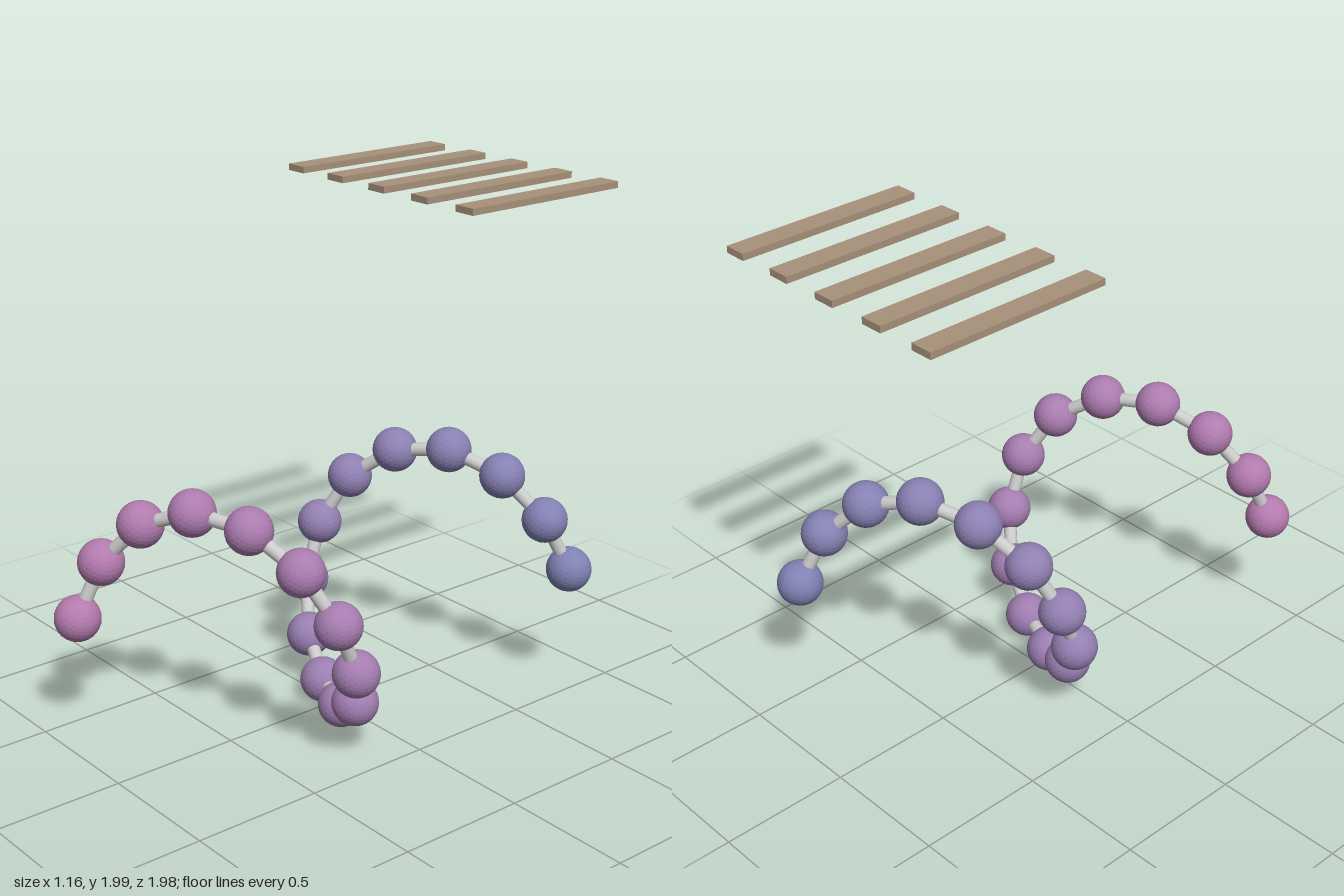
import * as THREE from 'three';

const BALLS = 20;
const BALL_RADIUS = 0.088;
const ROD_RADIUS = 0.026;

// Helix around the z axis, half a radian per ball, from back to front
function helixPoint(i) {
  const a = i * 0.5;
  return new THREE.Vector3(0.05 + 0.44 * Math.cos(a), 0.524 + 0.437 * Math.sin(a), -0.77 + i * 0.0879);
}

function rodBetween(a, b, material) {
  const rod = new THREE.Mesh(new THREE.CylinderGeometry(ROD_RADIUS, ROD_RADIUS, a.distanceTo(b), 16), material);
  rod.position.copy(a).lerp(b, 0.5);
  rod.quaternion.setFromUnitVectors(new THREE.Vector3(0, 1, 0), b.clone().sub(a).normalize());
  return rod;
}

export function createModel() {
  const model = new THREE.Group();
  model.name = 'helixChainWithSlats';

  // Chain of balls, shading from blue at the back to pink at the front
  const chain = new THREE.Group();
  chain.name = 'helixChain';
  const ballGeometry = new THREE.IcosahedronGeometry(BALL_RADIUS, 4);
  const back = new THREE.Color(0x7f82b4);
  const front = new THREE.Color(0xb57aae);
  for (let i = 0; i < BALLS; i++) {
    const color = back.clone().lerp(front, i / (BALLS - 1));
    const ball = new THREE.Mesh(ballGeometry, new THREE.MeshStandardMaterial({ color, flatShading: true }));
    ball.name = `ball${i + 1}`;
    ball.position.copy(helixPoint(i));
    chain.add(ball);
  }

  // Rods joining neighbouring balls
  const grey = new THREE.MeshStandardMaterial({ color: 0xcccccc });
  for (let i = 0; i < BALLS - 1; i++) {
    const rod = rodBetween(helixPoint(i), helixPoint(i + 1), grey);
    rod.name = `rod${i + 1}`;
    chain.add(rod);
  }
  model.add(chain);

  // Row of floating slats above the back half
  const slats = new THREE.Group();
  slats.name = 'overheadSlats';
  const slatGeometry = new THREE.BoxGeometry(0.088, 0.025, 0.732);
  const wood = new THREE.MeshStandardMaterial({ color: 0xa8927a });
  for (let i = 0; i < 5; i++) {
    const slat = new THREE.Mesh(slatGeometry, wood);
    slat.name = `slat${i + 1}`;
    slat.position.set(-0.54 + i * 0.235, 1.9875, -0.622);
    slats.add(slat);
  }
  model.add(slats);

  return model;
}
